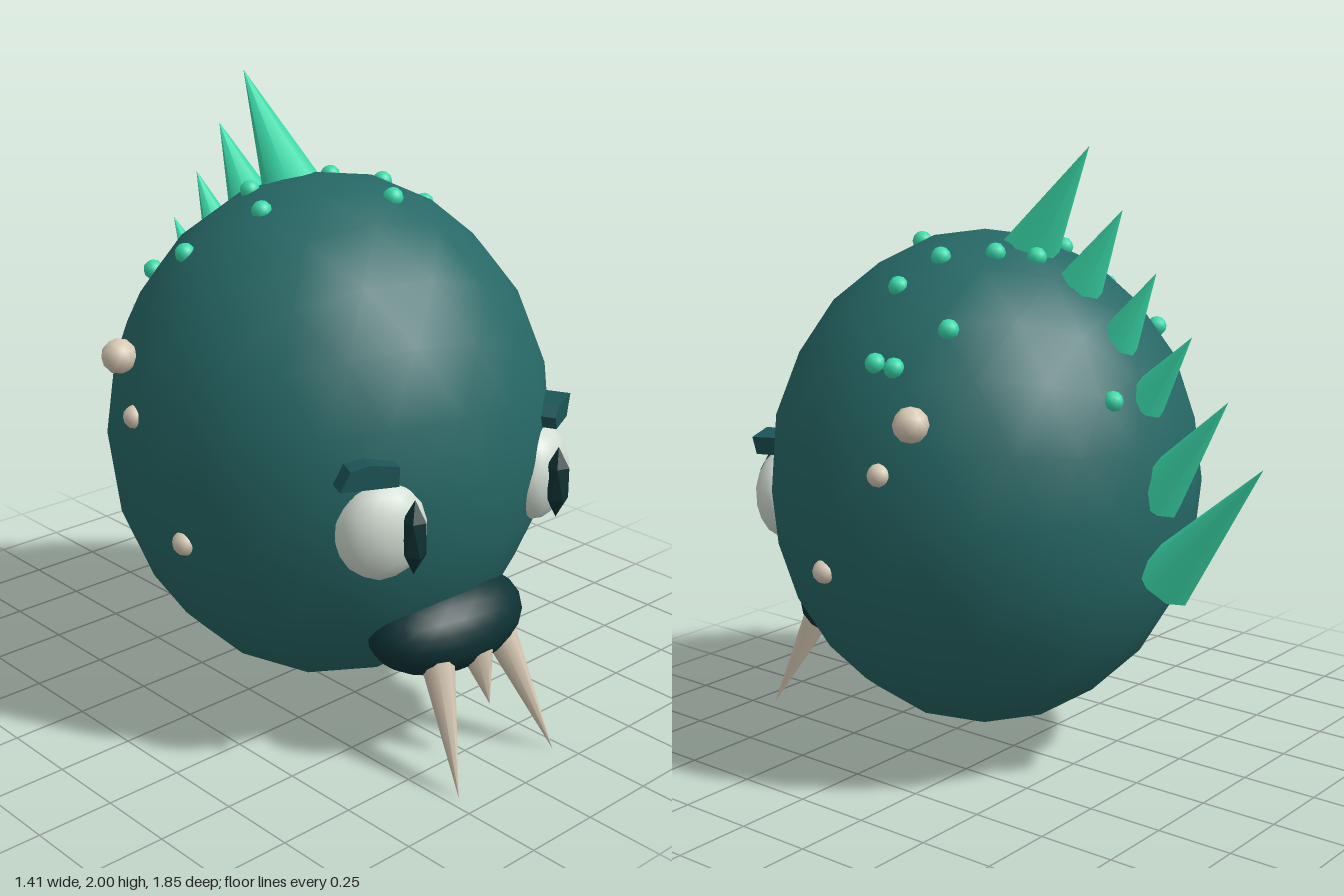
import * as THREE from 'three';

const material = (name, color) => {
  const m = new THREE.MeshStandardMaterial({ color });
  m.name = name;
  return m;
};

export function createModel() {
  const group = new THREE.Group();
  const skin = material('teal skin', 0x266866);
  const dark = material('dark teal', 0x0e3234);
  const lid = material('brow teal', 0x1d5558);
  const mint = material('mint green', 0x3adbaa);
  const bone = material('bone', 0xd8cab5);
  const white = material('eye white', 0xd3ddd3);

  const add = (name, geometry, mat, position = [0, 0, 0], scale = [1, 1, 1]) => {
    const mesh = new THREE.Mesh(geometry, mat);
    mesh.name = name;
    mesh.position.set(...position);
    mesh.scale.set(...scale);
    group.add(mesh);
    return mesh;
  };

  // Icosphere turned so that one corner points straight up
  const ball = (detail) => {
    const g = new THREE.IcosahedronGeometry(1, detail);
    return g.rotateZ(-Math.atan2(1, (1 + Math.sqrt(5)) / 2));
  };

  // Cone running from the centre of its base to its tip
  const coneBetween = (name, mat, base, tip, radius, sides = 8) => {
    const a = new THREE.Vector3(...base);
    const b = new THREE.Vector3(...tip);
    const axis = b.clone().sub(a);
    const mesh = add(name, new THREE.ConeGeometry(radius, axis.length(), sides), mat);
    mesh.position.copy(a).add(b).multiplyScalar(0.5);
    mesh.quaternion.setFromUnitVectors(new THREE.Vector3(0, 1, 0), axis.normalize());
    return mesh;
  };

  // Body and muzzle
  const centre = [0, 0.914, 0.115];
  const radii = [0.705, 0.814, 0.708];
  add('body', ball(3), skin, centre, radii);
  add('muzzle', ball(3), dark, [0, 0.42, 0.65], [0.29, 0.15, 0.183]);

  // Eyes with slit pupils
  for (const side of [-1, 1]) {
    const eye = add('eye', ball(2), white, [side * 0.335, 0.838, 0.7], [0.14, 0.155, 0.1]);
    eye.rotation.y = side * 0.4;
    add('pupil', ball(0), dark, [side * 0.31, 0.84, 0.81], [0.04, 0.115, 0.042]);
  }

  // Brows, both leaning the same way
  const brow = (points, x, yaw) => {
    const shape = new THREE.Shape(points.map((p) => new THREE.Vector2(...p)));
    const g = new THREE.ExtrudeGeometry(shape, { depth: 0.1, bevelEnabled: false });
    g.translate(0, 0, -0.05);
    add('brow', g, lid, [x, 1.02, 0.69]).rotation.y = yaw;
  };
  brow([[-0.085, 0.01], [-0.07, -0.03], [0.055, -0.03], [0.09, 0.035], [-0.045, 0.04]], 0.39, 0.45);
  brow([[-0.09, -0.03], [0.085, -0.03], [0.085, 0.03], [0.0, 0.043], [-0.06, 0.03]], -0.39, -0.45);

  // Teeth
  for (const side of [-1, 1]) {
    coneBetween('fang', bone, [side * 0.14, 0.36, 0.755], [side * 0.213, 0.0, 0.925], 0.052);
  }
  coneBetween('middleTooth', bone, [0, 0.36, 0.785], [0, 0.205, 0.845], 0.05);

  // Row of spikes down the back: base z, base y, tip z, tip y, radius
  const spikes = [
    [-0.06, 1.66, -0.29, 2.0, 0.095],
    [-0.25, 1.56, -0.415, 1.815, 0.08],
    [-0.4, 1.41, -0.54, 1.635, 0.068],
    [-0.505, 1.24, -0.67, 1.455, 0.068],
    [-0.55, 0.95, -0.8, 1.275, 0.088],
    [-0.59, 0.69, -0.925, 1.09, 0.1],
  ];
  for (const [bz, by, tz, ty, r] of spikes) {
    coneBetween('backSpike', mint, [0, by, bz], [0, ty, tz], r);
  }

  // Warts set on the upper surface: x, z
  const warts = [
    [-0.37, -0.3], [-0.43, -0.06], [-0.155, -0.08], [-0.275, 0.115], [0.07, -0.145],
    [0.16, -0.055], [0.26, 0.08], [0.395, 0.135], [0.45, -0.11], [0.57, 0],
    [0.575, 0.07], [0.065, 0.325], [-0.04, -0.515], [0.16, -0.5],
  ];
  for (const [x, z] of warts) {
    const u = x / radii[0];
    const v = (z - centre[2]) / radii[2];
    const y = centre[1] + radii[1] * Math.sqrt(1 - u * u - v * v);
    add('wart', ball(1), mint, [x, y - 0.006, z], [0.032, 0.032, 0.032]);
  }

  // Bony knobs on both flanks: x, y, z, radius
  const knobs = [[0.64, 1.225, -0.125, 0.055], [0.665, 1.065, -0.02, 0.037], [0.665, 0.73, 0.21, 0.04]];
  for (const side of [-1, 1]) {
    for (const [x, y, z, r] of knobs) add('boneKnob', ball(1), bone, [side * x, y, z], [r, r, r]);
  }
  return group;
}
